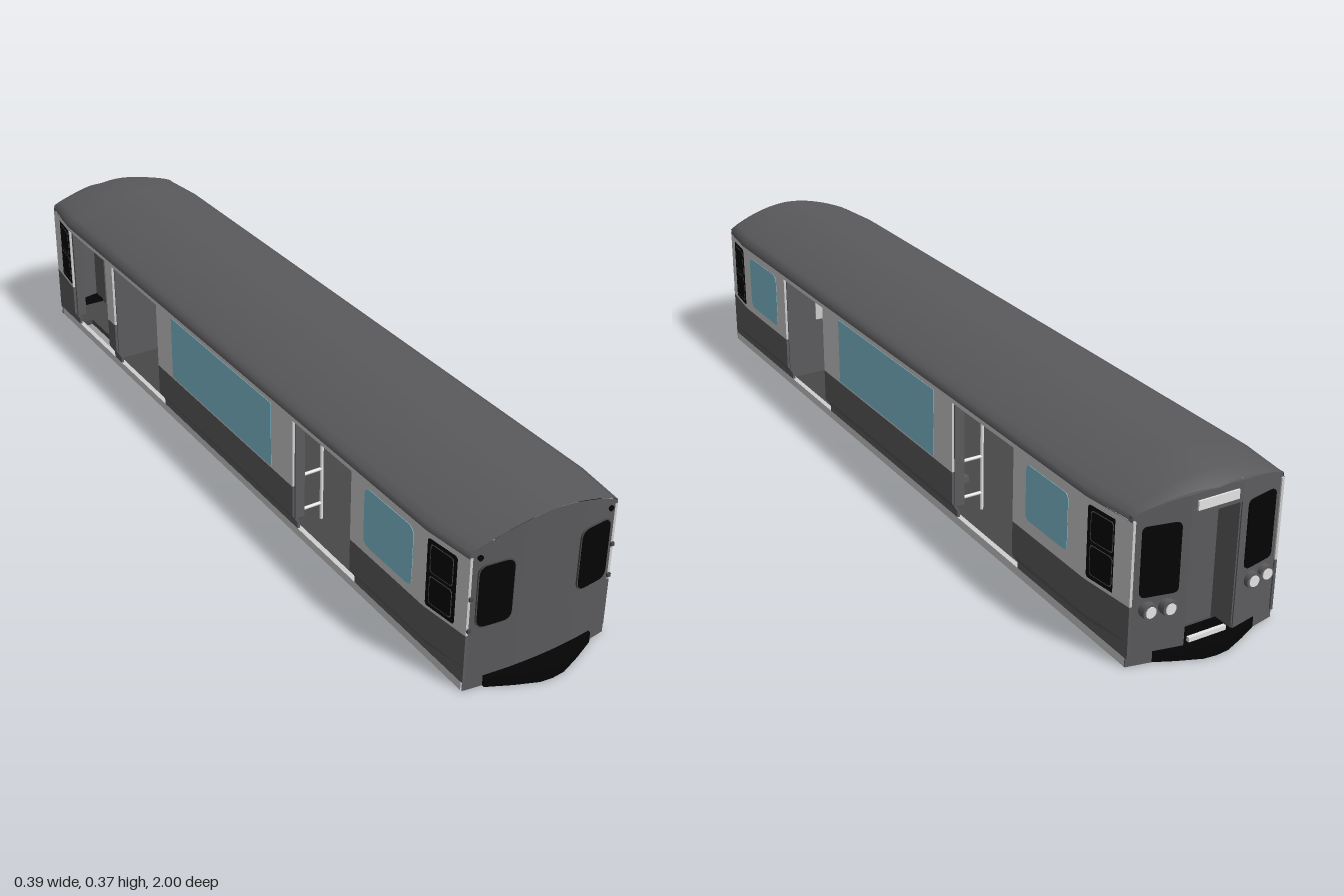
import * as THREE from 'three';

const mat = (name, color, side = THREE.FrontSide) => {
  const m = new THREE.MeshStandardMaterial({ color, side });
  m.name = name;
  return m;
};

export function createModel() {
  const car = new THREE.Group();
  car.name = 'railCar';
  const M = {
    body: mat('body grey', 0x5c5c5f),
    roof: mat('roof grey', 0x5a5a5d, THREE.DoubleSide),
    band: mat('light band', 0xd0d0d0),
    glass: mat('blue glass', 0x82c3d6),
    black: mat('black', 0x040404),
    floor: mat('floor dark', 0x484848),
    purple: mat('purple', 0x6a68b0),
    metal: mat('pale metal', 0xe6e6e6),
  };
  const add = (name, geo, m, x = 0, y = 0, z = 0) => {
    const mesh = new THREE.Mesh(geo, m);
    mesh.name = name;
    mesh.position.set(x, y, z);
    car.add(mesh);
    return mesh;
  };
  // box given by its limits
  const slab = (name, m, x0, x1, y0, y1, z0, z1) =>
    add(name, new THREE.BoxGeometry(x1 - x0, y1 - y0, z1 - z0), m, (x0 + x1) / 2, (y0 + y1) / 2, (z0 + z1) / 2);
  const poly = pts => new THREE.Shape(pts.map(p => new THREE.Vector2(p[0], p[1])));
  const extrude = (shape, depth) => new THREE.ExtrudeGeometry(shape, { depth, bevelEnabled: false, curveSegments: 6 });
  const move = (geo, rule) => {
    const p = geo.attributes.position, v = new THREE.Vector3();
    for (let i = 0; i < p.count; i++) {
      rule(v.fromBufferAttribute(p, i), i);
      p.setXYZ(i, v.x, v.y, v.z);
    }
    geo.computeVertexNormals();
    return geo;
  };
  // centred plate with rounded corners, facing z
  const plate = (w, h, r, t) => {
    const s = new THREE.Shape(), a = w / 2, b = h / 2;
    s.moveTo(-a + r, -b);
    s.lineTo(a - r, -b); s.quadraticCurveTo(a, -b, a, -b + r);
    s.lineTo(a, b - r); s.quadraticCurveTo(a, b, a - r, b);
    s.lineTo(-a + r, b); s.quadraticCurveTo(-a, b, -a, b - r);
    s.lineTo(-a, -b + r); s.quadraticCurveTo(-a, -b, -a + r, -b);
    return extrude(s, t).translate(0, 0, -t / 2);
  };

  // body narrows towards both ends; the front is slightly bowed
  const W = 0.192, FRONT = 0.94, BACK = -0.95, TAPER = 0.82;
  const halfWidth = z => W - 0.014 * Math.max(0, Math.min(1, (Math.abs(z) - TAPER) / 0.12));
  const roofY = u => 0.373 - 0.046 * Math.pow(u, 1.8);
  const frontZ = x => 0.954 - 0.015 * (x / 0.178) ** 2;

  // side walls, extruded along z between the openings
  const T = 0.006;
  const lower = [[0.178, 0.02], [0.178, 0.035], [W, 0.058], [W, 0.135], [W - T, 0.135], [W - T, 0.058], [0.172, 0.036], [0.172, 0.02]];
  const rect = (y0, y1) => [[W, y0], [W, y1], [W - T, y1], [W - T, y0]];
  const wall = (name, pts, s, z0, z1, m) => {
    const geo = extrude(poly(pts.map(([x, y]) => [x * s, y])), z1 - z0).translate(0, 0, z0);
    move(geo, v => { if (v.y > 0.05) v.x -= s * (W - halfWidth(v.z)); });
    add(name, geo, m);
  };
  for (const s of [1, -1]) {
    const runs = [[TAPER, FRONT], [0.56, TAPER], [-0.31, 0.33], [s > 0 ? -TAPER : -0.6, -0.56], [BACK, -TAPER]];
    for (const [a, b] of runs) {
      wall('lowerWall', lower, s, a, b, M.body);
      wall('upperWall', rect(0.135, 0.303), s, a, b, M.band);
    }
    for (const [a, b] of [[BACK, -TAPER], [-TAPER, TAPER], [TAPER, FRONT]])
      wall('wallHeader', rect(0.303, 0.316), s, a, b, M.band);
    slab('sill', M.band, s * 0.172 - 0.006, s * 0.172 + 0.006, 0, 0.02, -0.943, 0.935);

    // blue windows, seen from both sides of the wall
    const panes = [[0.61, 0.78, 0.155, 0.295, 0.02], [-0.23, 0.24, 0.14, 0.302, 0.003]];
    if (s > 0) panes.push([-0.76, -0.61, 0.165, 0.29, 0.015]);
    for (const [a, b, y0, y1, r] of panes)
      add('sideWindow', plate(b - a, y1 - y0, r, 0.008), M.glass, s * (W - T / 2), (y0 + y1) / 2, (a + b) / 2).rotation.y = Math.PI / 2;

    // two-pane windows on the tapered ends
    for (const e of [1, -1]) {
      const g = new THREE.Group();
      g.name = 'endSideWindow';
      const part = (geo, m, y) => {
        const mesh = new THREE.Mesh(geo, m);
        mesh.position.set(0, y, 0);
        g.add(mesh);
      };
      part(plate(0.082, 0.158, 0.008, 0.0074), M.black, 0);
      for (const y of [0.037, -0.037]) {
        part(plate(0.064, 0.066, 0.008, 0.008), M.body, y);
        part(plate(0.06, 0.062, 0.008, 0.0086), M.black, y);
      }
      const z = e * 0.866;
      g.position.set(s * (halfWidth(z) - T / 2), 0.222, z);
      g.rotation.y = Math.PI / 2 - s * e * 0.116;
      car.add(g);
    }
    // door frames
    const doors = [[0.33, 0.56], [-0.56, -0.31]];
    if (s < 0) doors.push([-0.815, -0.605]);
    for (const [a, b] of doors) for (const z of [a, b])
      slab('doorJamb', M.body, s * 0.174 - 0.012, s * 0.174 + 0.012, 0.05, 0.303, z - 0.003, z + 0.003);
  }

  // arched roof, dropping at the back end
  const zs = [-0.97, -0.93, -TAPER, TAPER, 0.954], N = 20;
  add('roof', move(new THREE.PlaneGeometry(2, 1, N, zs.length - 1), (v, i) => {
    const col = i % (N + 1), row = Math.floor(i / (N + 1));
    const eave = col === 0 || col === N;
    const t = eave ? Math.sign(v.x) : (col - N / 2) / (N / 2 - 1), u = Math.abs(t);
    const z = zs[row] + (row === 0 ? 0.022 * u : row === 4 ? -0.015 * u * u : 0);
    v.set(t * (halfWidth(z) + 0.001) * (eave || u < 1 ? 1 : 0.98), eave ? 0.314 : roofY(u), z);
    if (row === 0) v.y -= 0.022 * (1 - u);
  }), M.roof);

  // bowed front end wall with windows and marker lamps
  add('frontWall', move(new THREE.PlaneGeometry(0.356, 1, 20, 1), v => {
    v.y = v.y < 0 ? 0 : roofY(Math.abs(v.x) / 0.178) - 0.001;
    v.z = frontZ(v.x);
  }), M.roof);
  for (const s of [1, -1]) {
    const tilt = s * 0.114, wz = frontZ(0.12);
    add('frontWindowFrame', plate(0.082, 0.146, 0.022, 0.005), M.floor, s * 0.12, 0.221, wz).rotation.y = tilt;
    add('frontWindow', plate(0.077, 0.141, 0.02, 0.008), M.black, s * 0.12, 0.221, wz).rotation.y = tilt;
    add('markerLamp', new THREE.CylinderGeometry(0.006, 0.006, 0.008, 12).rotateX(Math.PI / 2), M.black, s * 0.158, 0.313, frontZ(0.158));
    for (const y of [0.147, 0.222])
      slab('grabBracket', M.floor, s * 0.173 - 0.004, s * 0.173 + 0.004, y - 0.004, y + 0.004, 0.938, 0.945);
  }

  // back end: two angled panels around a recessed doorway
  const D = 0.06;
  const backZ = x => -0.97 + 0.025 * Math.max(0, Math.abs(x) - D) / (0.178 - D);
  const backTop = x => roofY(Math.abs(x) / 0.178) - 0.022 * (1 - Math.abs(x) / 0.178) - 0.001;
  const angle = Math.atan(0.025 / (0.178 - D));
  for (const s of [1, -1]) {
    const pts = [[s * D, 0], [s * 0.178, 0]];
    for (let i = 5; i >= 0; i--) { const x = D + (0.178 - D) * i / 5; pts.push([s * x, backTop(x)]); }
    add('backPanel', move(extrude(poly(pts), 0.008), v => { v.z += backZ(v.x); }), M.body);
    add('backWindow', plate(0.08, 0.15, 0.012, 0.008), M.black, s * 0.118, 0.225, backZ(0.118)).rotation.y = -s * angle;
    for (const x of [0.1, 0.14]) {
      const lamp = (name, r, l, m, dz) =>
        add(name, new THREE.CylinderGeometry(r, r, l, 16).rotateX(Math.PI / 2), m, s * x, 0.122, backZ(x) + dz);
      lamp('headlampRing', 0.017, 0.018, M.body, -0.005);
      lamp('headlampLens', 0.012, 0.006, M.metal, -0.013);
    }
    slab('recessSide', M.body, s * D - 0.003, s * D + 0.003, 0.012, 0.31, -0.967, -0.9);
  }
  const lintel = [[-D, 0.305], [D, 0.305]];
  for (let i = 4; i >= -4; i--) lintel.push([i * D / 4, backTop(i * D / 4)]);
  add('doorLintel', extrude(poly(lintel), 0.008), M.body, 0, 0, -0.97);
  slab('destinationPanel', M.metal, -0.048, 0.048, 0.316, 0.336, -0.974, -0.968);
  slab('recessCeiling', M.body, -D, D, 0.305, 0.31, -0.966, -0.9);
  slab('backDoor', M.body, -D, D, 0.012, 0.31, -0.906, -0.9);
  slab('backDoorSill', M.metal, -0.045, 0.045, 0.012, 0.035, -0.968, -0.96);

  // pointed coupler plates at both ends
  const nose = [[-0.133, 0.92], [0.133, 0.92], [0.133, 0.952], [0.08, 0.977], [0.03, 0.997], [0, 1],
    [-0.03, 0.997], [-0.08, 0.977], [-0.133, 0.952]];
  for (const e of [1, -1])
    add('couplerPlate', extrude(poly(nose.map(([x, z]) => [x, z * e])), 0.025).rotateX(Math.PI / 2), M.black, 0, 0.025, 0);

  // floor, with a gap beside the crew door, and bolt heads underneath
  for (const [x0, z0, z1] of [[-0.172, -0.945, -0.83], [-0.138, -0.83, -0.6], [-0.172, -0.6, 0.937]])
    slab('floor', M.floor, x0, 0.172, 0.004, 0.018, z0, z1);
  for (const x of [-0.07, 0.07]) for (let i = 0; i < 8; i++)
    add('floorBolt', new THREE.CylinderGeometry(0.004, 0.004, 0.004, 8), M.body, x, 0.003, -0.42 + i * 0.11);

  // interior: bulkheads, benches, rails and poles
  const rod = (name, len, x, y, z, axis) => {
    const mesh = add(name, new THREE.CylinderGeometry(0.004, 0.004, len, 8), M.metal, x, y, z);
    if (axis) mesh.rotation[axis] = Math.PI / 2;
  };
  for (const s of [1, -1]) {
    const at = s * 0.115;
    for (const z of [-0.589, 0.578])
      slab('bulkhead', M.body, at - 0.06, at + 0.06, 0.018, 0.325, z - 0.003, z + 0.003);
    slab('benchSeat', M.body, s * 0.155 - 0.03, s * 0.155 + 0.03, 0.075, 0.09, -0.27, 0.27);
    slab('benchBase', M.floor, s * 0.165 - 0.012, s * 0.165 + 0.012, 0.018, 0.075, -0.27, 0.27);
    rod('handRail', 0.6, s * 0.1, 0.31, 0, 'x');
    for (const z of [-0.3, 0.32]) {
      rod('pole', 0.32, s * 0.11, 0.178, z);
      for (const y of [0.06, 0.15]) rod('armRail', 0.08, s * 0.148, y, z, 'z');
    }
    // blue draught screen with purple straps beside one door on each side
    const z = s > 0 ? 0.327 : -0.307, face = z + s * 0.003;
    slab('draughtScreen', M.glass, s * 0.1 - 0.085, s * 0.1 + 0.085, 0.045, 0.205, z - 0.003, z + 0.003);
    for (const x of [0.05, 0.17]) rod('screenPole', 0.3, s * x, 0.168, face);
    rod('screenRail', 0.15, s * 0.11, 0.207, face, 'z');
    for (const x of [0.08, 0.11, 0.14]) {
      slab('strap', M.purple, s * x - 0.004, s * x + 0.004, 0.25, 0.305, z - 0.003, z + 0.003);
      add('strapRing', new THREE.TorusGeometry(0.011, 0.003, 6, 12), M.purple, s * x, 0.24, z);
    }
  }
  slab('bulkheadPanel', M.band, 0.03, 0.1, 0.17, 0.25, 0.57, 0.575);

  // small folding seat against the front draught screen
  slab('foldingSeat', M.purple, 0.095, 0.15, 0.1, 0.112, 0.328, 0.336);
  slab('foldingSeatBack', M.purple, 0.135, 0.148, 0.112, 0.145, 0.328, 0.336);
  for (const x of [0.105, 0.14])
    slab('foldingSeatLeg', M.purple, x - 0.004, x + 0.004, 0.06, 0.1, 0.328, 0.336);
  return car;
}
